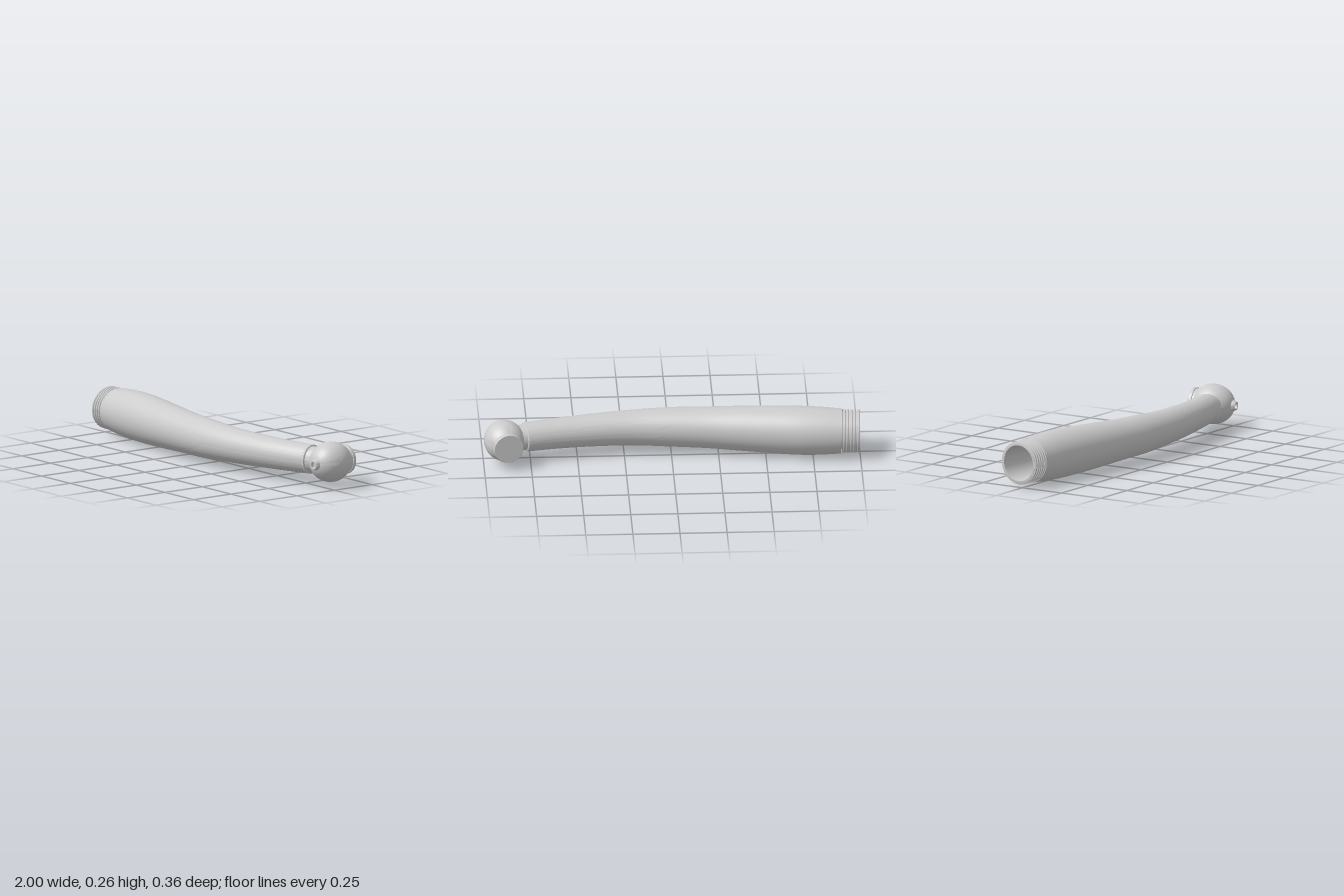
import * as THREE from 'three';
import { toCreasedNormals } from 'three/addons/utils/BufferGeometryUtils.js';

const AXIS_Y = 0.13; // height of the whole centre line
const material = new THREE.MeshStandardMaterial({ color: 0xcccccc, side: THREE.DoubleSide });

function addMesh(parent, name, geometry) {
  const mesh = new THREE.Mesh(toCreasedNormals(geometry, 0.5), material);
  mesh.name = name;
  parent.add(mesh);
  return mesh;
}

// Turned part: profile of [radius, distance along dir], starting at (x, z)
function turned(parent, name, profile, [x, z], [dx, dz]) {
  const points = profile.map(([r, s]) => new THREE.Vector2(r, s));
  const mesh = addMesh(parent, name, new THREE.LatheGeometry(points, 64));
  mesh.position.set(x, AXIS_Y, z);
  mesh.quaternion.setFromUnitVectors(new THREE.Vector3(0, 1, 0), new THREE.Vector3(dx, 0, dz).normalize());
  return mesh;
}

// Round sections swept square to a bent centre line; stations are [x, radius, z]
function sweptBody(stations, steps = 64, sides = 64) {
  const curve = new THREE.CatmullRomCurve3(stations.map(s => new THREE.Vector3(...s)));
  const positions = [], index = [];
  for (let i = 0; i <= steps; i++) {
    const p = curve.getPoint(i / steps);
    const t = curve.getTangent(i / steps).setY(0).normalize();
    for (let j = 0; j <= sides; j++) {
      const a = (j / sides) * Math.PI * 2;
      const side = p.y * Math.sin(a);
      positions.push(p.x - t.z * side, AXIS_Y + p.y * Math.cos(a), p.z + t.x * side);
    }
  }
  const row = sides + 1;
  for (let i = 0; i < steps; i++) {
    for (let j = 0; j < sides; j++) {
      const a = i * row + j, c = a + row;
      index.push(a, a + 1, c, a + 1, c + 1, c);
    }
  }
  const geometry = new THREE.BufferGeometry();
  geometry.setAttribute('position', new THREE.Float32BufferAttribute(positions, 3));
  geometry.setIndex(index);
  return geometry;
}

export function createModel() {
  const model = new THREE.Group();
  model.name = 'handpiece';

  // Bent, tapering grip
  addMesh(model, 'grip', sweptBody([
    [-0.905, 0.119, -0.021], [-0.8, 0.127, -0.012], [-0.7, 0.13, -0.003], [-0.6, 0.129, 0.01],
    [-0.4, 0.121, 0.036], [-0.2, 0.111, 0.059], [0, 0.105, 0.074], [0.2, 0.095, 0.075],
    [0.4, 0.088, 0.055], [0.6, 0.082, 0.021], [0.772, 0.078, -0.019],
  ]));

  // Hollow threaded end: ridges outside, then the rim and the bore
  const thread = [[0.119, 0.096], [0.106, 0.092]];
  for (let i = 4; i >= 0; i--) {
    const s = 0.002 + i * 0.0185;
    thread.push([0.106, s + 0.015], [0.115, s + 0.011], [0.115, s + 0.003], [0.106, s]);
  }
  thread.push([0.106, 0], [0.096, 0], [0.096, 0.35], [0, 0.35]);
  turned(model, 'threadedEnd', thread, [-1, -0.025], [1, 0.05]);

  // Neck with a small shoulder where the grip stops
  turned(model, 'neck', [
    [0, 0], [0.078, 0], [0.078, 0.006], [0.07, 0.01], [0.068, 0.03], [0.07, 0.06], [0.06, 0.08],
  ], [0.772, -0.019], [0.97, -0.25]);

  // Egg-shaped head, tilted about the vertical
  const centre = [0.89, -0.06], back = [-0.176, -0.984];
  const shell = [];
  for (let i = 0; i <= 32; i++) {
    const a = -Math.PI / 2 + (i / 32) * (Math.PI / 2 + 0.78);
    shell.push([0.108 * Math.cos(a), (a < 0 ? 0.122 : 0.115) * Math.sin(a)]);
  }
  turned(model, 'head', shell, centre, back);

  // Flat cap on the back of the head
  turned(model, 'cap', [
    [0.074, 0.07], [0.076, 0.092], [0.08, 0.094], [0.08, 0.111], [0.077, 0.114], [0, 0.114],
  ], centre, back);

  // Small collar with a hole on the front of the head
  turned(model, 'nozzle', [
    [0, -0.1], [0.016, -0.1], [0.016, -0.134], [0.022, -0.137], [0.029, -0.122], [0.03, -0.1],
  ], centre, back);
  turned(model, 'nozzleRing', [
    [0.016, -0.124], [0.016, -0.137], [0.022, -0.138], [0.022, -0.13],
  ], centre, back);

  return model;
}
